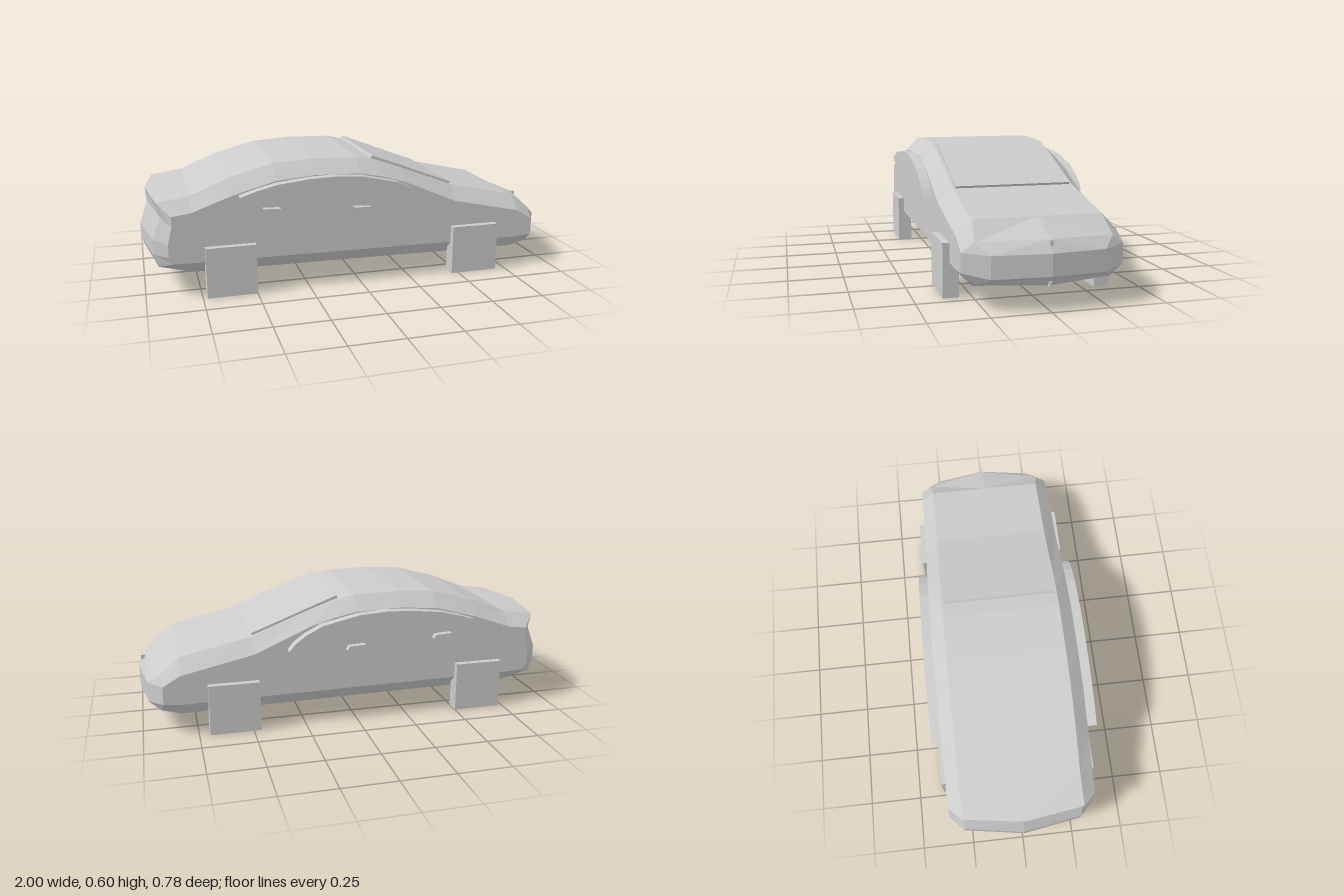
import * as THREE from 'three';

const material = new THREE.MeshStandardMaterial({ color: 0xcccccc, flatShading: true });
const W = 0.345; // half width at the flanks
const E = 0.28;  // half width of roof and floor

function add(parent, name, geometry, x = 0, y = 0, z = 0) {
  const mesh = new THREE.Mesh(geometry, material);
  mesh.name = name;
  mesh.position.set(x, y, z);
  parent.add(mesh);
  return mesh;
}

// Grids of points (rows run down, columns run right), mirrored across z = 0
function mirroredGrids(grids) {
  const pos = [];
  const tri = (a, b, c) => {
    pos.push(...a, ...b, ...c);
    for (const p of [a, c, b]) pos.push(p[0], p[1], -p[2]);
  };
  for (const g of grids) {
    for (let j = 0; j < g.length - 1; j++) {
      for (let i = 0; i < g[j].length - 1; i++) {
        const a = g[j][i], b = g[j][i + 1], c = g[j + 1][i + 1], d = g[j + 1][i];
        tri(a, d, c);
        tri(a, c, b);
      }
    }
  }
  const geometry = new THREE.BufferGeometry();
  geometry.setAttribute('position', new THREE.Float32BufferAttribute(pos, 3));
  geometry.computeVertexNormals();
  return geometry;
}

// Half section: roof centre, roof edge, shoulder, three flank points, sill, floor edge, floor centre
function section(top, edge, shoulder, sill, floorEdge, floor) {
  const flank = [0.25, 0.5, 0.75].map(t => shoulder.map((v, k) => v + (sill[k] - v) * t));
  return [top, edge, shoulder, ...flank, sill, floorEdge, floor];
}

function bodyGeometry() {
  // Tail: rows of centre, edge and side points, bulging out in the middle
  const tail = [
    [[-0.97, 0.445, 0], [-0.93, 0.44, E], [-0.87, 0.388, W]],
    [[-0.965, 0.38, 0], [-0.915, 0.375, E], [-0.87, 0.34, W]],
    [[-1, 0.27, 0], [-0.955, 0.27, E], [-0.89, 0.26, W]],
    [[-1, 0.2, 0], [-0.955, 0.2, E], [-0.89, 0.2, W]],
    [[-0.98, 0.148, 0], [-0.935, 0.14, E], [-0.87, 0.168, W]],
  ];
  const tailRing = [tail[0][0], tail[0][1], ...tail.map(r => r[2]), tail[4][1], tail[4][0]];

  // Main stations: x, roof y, shoulder y, sill y, floor y
  const stations = [
    [-0.78, 0.462, 0.4, 0.165, 0.1],
    [-0.6, 0.535, 0.465, 0.163, 0.098],
    [-0.4, 0.588, 0.52, 0.162, 0.095],
    [-0.22, 0.6, 0.536, 0.16, 0.093],
    [0, 0.595, 0.53, 0.158, 0.091],
    [0.1, 0.573, 0.51, 0.157, 0.09],
    [0.22, 0.53, 0.475, 0.156, 0.088],
    [0.48, 0.43, 0.362, 0.153, 0.085],
    [0.82, 0.355, 0.288, 0.15, 0.081],
  ].map(([x, r, s, l, f]) =>
    section([x, r, 0], [x, r, E], [x, s, W], [x, l, W], [x, f, E], [x, f, 0]));

  // Nose: bumper corner ring, then the narrow front face
  const corner = section([0.965, 0.29, 0], [0.91, 0.28, 0.293], [0.9, 0.24, W],
    [0.9, 0.157, W], [0.91, 0.108, 0.285], [0.96, 0.1, 0]);
  const hi = [0.965, 0.235, 0.24], lo = [0.965, 0.14, 0.24];
  const hiMid = [1, 0.238, 0], loMid = [1, 0.145, 0];
  const face = section(hiMid, hi, hi, lo, lo, loMid);

  const rings = [tailRing, ...stations, corner, face];
  const shell = rings[0].map((_, j) => rings.map(r => r[j]));
  return mirroredGrids([shell, tail, [[hi, hiMid], [lo, loMid]]]);
}

// Flat outline extruded in z
function plate(points, depth) {
  const shape = new THREE.Shape(points.map(p => new THREE.Vector2(...p)));
  return new THREE.ExtrudeGeometry(shape, { depth, bevelEnabled: false });
}

export function createModel() {
  const car = new THREE.Group();
  car.name = 'car';
  add(car, 'body', bodyGeometry());

  const windowOutline = [
    [-0.57, 0.465], [-0.47, 0.43], [-0.39, 0.413], [-0.1, 0.396], [0.33, 0.375], [0.3, 0.41],
    [0.25, 0.447], [0.17, 0.487], [0, 0.525], [-0.13, 0.534], [-0.25, 0.53], [-0.4, 0.513], [-0.5, 0.488],
  ];
  const handleOutline = [[0, 0.022], [0.018, 0], [0.09, 0], [0.08, 0.018]];

  for (const side of [1, -1]) {
    const name = side > 0 ? 'left' : 'right';
    // Block wheels
    add(car, name + 'FrontWheel', new THREE.BoxGeometry(0.235, 0.237, 0.07), 0.583, 0.1185, side * 0.341);
    add(car, name + 'RearWheel', new THREE.BoxGeometry(0.23, 0.237, 0.07), -0.615, 0.1185, side * 0.341);
    // Raised side window and door handles
    const slab = (part, outline, x, y, inner, outer) =>
      add(car, name + part, plate(outline, outer - inner), x, y, side > 0 ? inner : -outer);
    slab('SideWindow', windowOutline, 0, 0, 0.31, 0.39);
    slab('RearDoorHandle', handleOutline, -0.465, 0.379, 0.33, 0.376);
    slab('FrontDoorHandle', handleOutline, -0.038, 0.355, 0.33, 0.376);
  }

  // Windscreen panel lying on the slope
  add(car, 'windscreen',
    plate([[0.072, 0.582], [0.478, 0.428], [0.485, 0.44], [0.08, 0.595]], 0.535), 0, 0, -0.2675);

  // Small pegs on the nose
  add(car, 'bonnetPeg', new THREE.BoxGeometry(0.03, 0.024, 0.012), 0.972, 0.277, 0);
  add(car, 'bumperPeg', new THREE.BoxGeometry(0.04, 0.025, 0.012), 0.965, 0.111, 0);
  return car;
}
